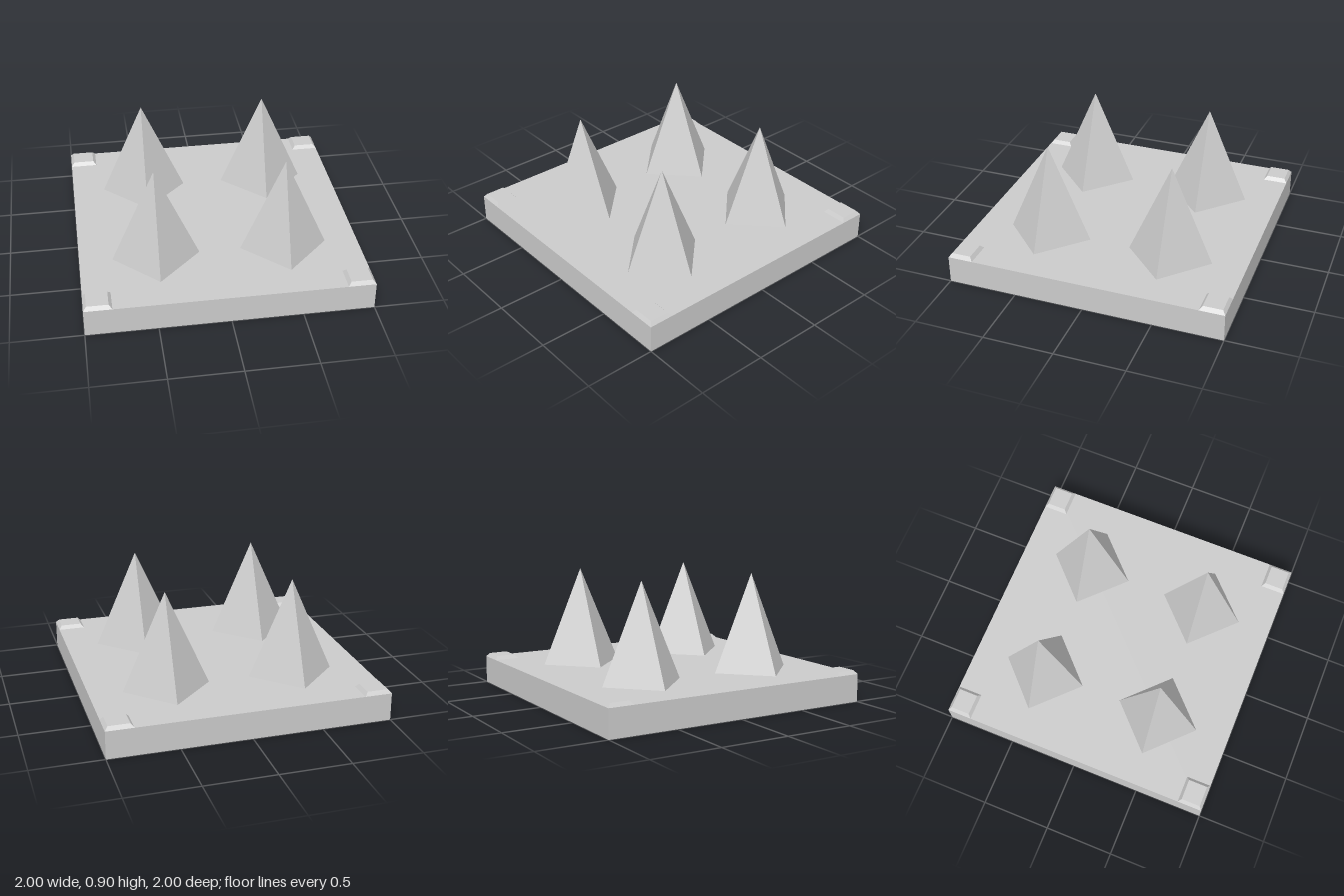
import * as THREE from 'three';

const material = new THREE.MeshStandardMaterial({ color: 0xcccccc, flatShading: true });

function addMesh(group, name, geometry, x, y, z) {
  const mesh = new THREE.Mesh(geometry, material);
  mesh.name = name;
  mesh.position.set(x, y, z);
  group.add(mesh);
}

export function createModel() {
  const group = new THREE.Group();
  group.name = 'spikedPlate';
  const baseHeight = 0.2;

  // Square slab
  addMesh(group, 'base', new THREE.BoxGeometry(2, baseHeight, 2), 0, baseHeight / 2, 0);

  // Four-sided spike with its base corners on the axes
  const spikeHeight = 0.7;
  const spike = new THREE.ConeGeometry(0.31, spikeHeight, 4, 1);
  spike.scale(1, 1, 0.305 / 0.31);

  // Corner pad: a box whose top face is drawn in to form bevelled sides
  const padHeight = 0.026;
  const pad = new THREE.BoxGeometry(0.195, padHeight, 0.18);
  const p = pad.attributes.position;
  for (let i = 0; i < p.count; i++) {
    if (p.getY(i) > 0) {
      p.setX(i, Math.sign(p.getX(i)) * 0.075);
      p.setZ(i, Math.sign(p.getZ(i)) * 0.069);
    }
  }
  pad.computeVertexNormals();

  // One spike and one pad in each quarter
  for (const sx of [-1, 1]) {
    for (const sz of [-1, 1]) {
      const where = (sz > 0 ? 'front' : 'back') + (sx > 0 ? 'Left' : 'Right');
      addMesh(group, where + 'Spike', spike, sx * 0.457, baseHeight + spikeHeight / 2, sz * 0.453);
      addMesh(group, where + 'CornerPad', pad, sx * 0.9025, baseHeight + padHeight / 2, sz * 0.91);
    }
  }

  return group;
}
